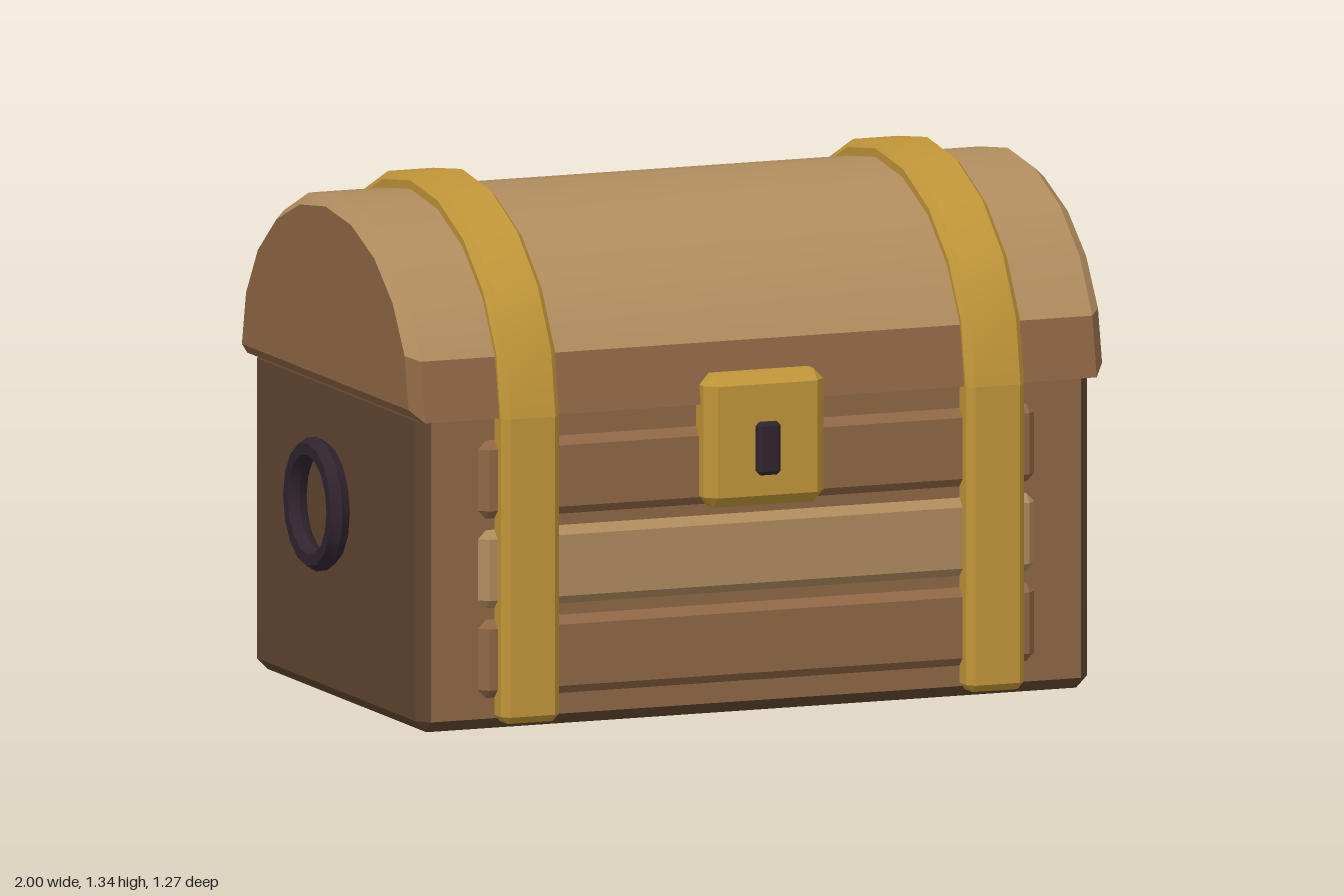
import * as THREE from 'three';
import { toCreasedNormals } from 'three/addons/utils/BufferGeometryUtils.js';
import { ConvexGeometry } from 'three/addons/geometries/ConvexGeometry.js';

const Z = -0.017; // depth centre of the chest
const STEPS = 10; // facets of the arched lid

const material = (name, color) => {
  const m = new THREE.MeshStandardMaterial({ color });
  m.name = name;
  return m;
};

// Box between two corners with all twelve edges chamfered
function bevelBox(min, max, b) {
  const c = min.map((v, i) => (v + max[i]) / 2);
  const h = max.map((v, i) => (v - min[i]) / 2);
  const points = [];
  for (const sx of [-1, 1]) for (const sy of [-1, 1]) for (const sz of [-1, 1]) {
    const s = [sx, sy, sz];
    for (let full = 0; full < 3; full++) {
      points.push(new THREE.Vector3(...s.map((k, i) => c[i] + k * (h[i] - (i === full ? 0 : b)))));
    }
  }
  return new ConvexGeometry(points);
}

// Half-ellipse arch lofted along x; each section is [x, rz, ry, baseY]
function arch(sections, from, to) {
  const pos = [];
  const point = ([x, rz, ry, y], j) => {
    const a = (j / STEPS) * Math.PI;
    return [x, y + ry * Math.sin(a), Z + rz * Math.cos(a)];
  };
  for (let i = 0; i < sections.length - 1; i++) {
    for (let j = from; j < to; j++) {
      const a = point(sections[i], j), b = point(sections[i + 1], j);
      const c = point(sections[i + 1], j + 1), d = point(sections[i], j + 1);
      pos.push(...a, ...b, ...c, ...a, ...c, ...d);
    }
  }
  const g = new THREE.BufferGeometry();
  g.setAttribute('position', new THREE.Float32BufferAttribute(pos, 3));
  return toCreasedNormals(g, 0.55);
}

export function createModel() {
  const wood = material('brown wood', 0x8f6745);
  const tan = material('tan wood', 0xb08c5e);
  const dark = material('dark wood', 0x614530);
  const gold = material('gold', 0xc09538);
  const iron = material('dark iron', 0x30242f);

  const chest = new THREE.Group();
  chest.name = 'chest';
  const add = (name, geometry, mat) => {
    const mesh = new THREE.Mesh(geometry, mat);
    mesh.name = name;
    chest.add(mesh);
    return mesh;
  };

  // Body with dark ends and edges, brown front and back faces
  add('body', bevelBox([-0.92, 0, Z - 0.553], [0.92, 0.83, Z + 0.553], 0.03), dark);
  for (const s of [-1, 1]) {
    const panel = add(s > 0 ? 'frontPanel' : 'backPanel', new THREE.BoxGeometry(1.78, 0.775, 0.004), wood);
    panel.position.set(0, 0.4175, Z + s * 0.553);
  }

  // Raised front planks
  [[0.08, wood], [0.31, tan], [0.54, wood]].forEach(([y, mat]) =>
    add('frontPlank', bevelBox([-0.765, y, 0.49], [0.765, y + 0.207, 0.56], 0.025), mat));

  // Arched lid: tan top, brown lowest course, brown ends and underside
  const lid = [
    [-0.95, 0.55, 0.438, 0.834], [-0.92, 0.587, 0.498, 0.804],
    [0.92, 0.587, 0.498, 0.804], [0.95, 0.55, 0.438, 0.834],
  ];
  add('lidTop', arch(lid, 1, STEPS - 1), tan);
  add('lidFrontRim', arch(lid, 0, 1), wood);
  add('lidBackRim', arch(lid, STEPS - 1, STEPS), wood);
  const base = [];
  for (const sx of [-1, 1]) {
    const end = add('lidEnd', new THREE.CircleGeometry(1, STEPS, 0, Math.PI), wood);
    end.scale.set(0.55, 0.438, 1);
    end.rotation.y = sx * Math.PI / 2;
    end.position.set(sx * 0.95, 0.834, Z);
    for (const sz of [-1, 1]) {
      base.push(new THREE.Vector3(sx * 0.92, 0.804, Z + sz * 0.587));
      base.push(new THREE.Vector3(sx * 0.95, 0.834, Z + sz * 0.55));
    }
  }
  add('lidUnderside', new ConvexGeometry(base), wood);

  // Gold straps: an arch over the lid and a leg down the front and back
  for (const x of [-0.637, 0.637]) {
    const strap = [[-0.08, 0.57, 0.48], [-0.08, 0.597, 0.52], [-0.062, 0.616, 0.54],
      [0.062, 0.616, 0.54], [0.08, 0.597, 0.52], [0.08, 0.57, 0.48]];
    add('strapArch', arch(strap.map(([dx, rz, ry]) => [x + dx, rz, ry, 0.804]), 0, STEPS), gold);
    add('strapFrontLeg', bevelBox([x - 0.08, 0.02, Z + 0.5], [x + 0.08, 0.824, Z + 0.616], 0.019), gold);
    add('strapBackLeg', bevelBox([x - 0.08, 0.02, Z - 0.616], [x + 0.08, 0.824, Z - 0.5], 0.019), gold);
  }

  // Lock plate and keyhole
  add('lockPlate', bevelBox([-0.165, 0.54, 0.5], [0.163, 0.882, 0.617], 0.028), gold);
  add('keyhole', bevelBox([-0.034, 0.622, 0.58], [0.03, 0.758, 0.638], 0.01), iron);

  // Ring handles on both ends
  for (const s of [-1, 1]) {
    const ring = add(s > 0 ? 'leftHandle' : 'rightHandle',
      toCreasedNormals(new THREE.TorusGeometry(0.143, 0.03, 6, 16), 0.5), iron);
    ring.rotation.y = Math.PI / 2;
    ring.position.set(s * 0.974, 0.51, Z);
  }
  return chest;
}
